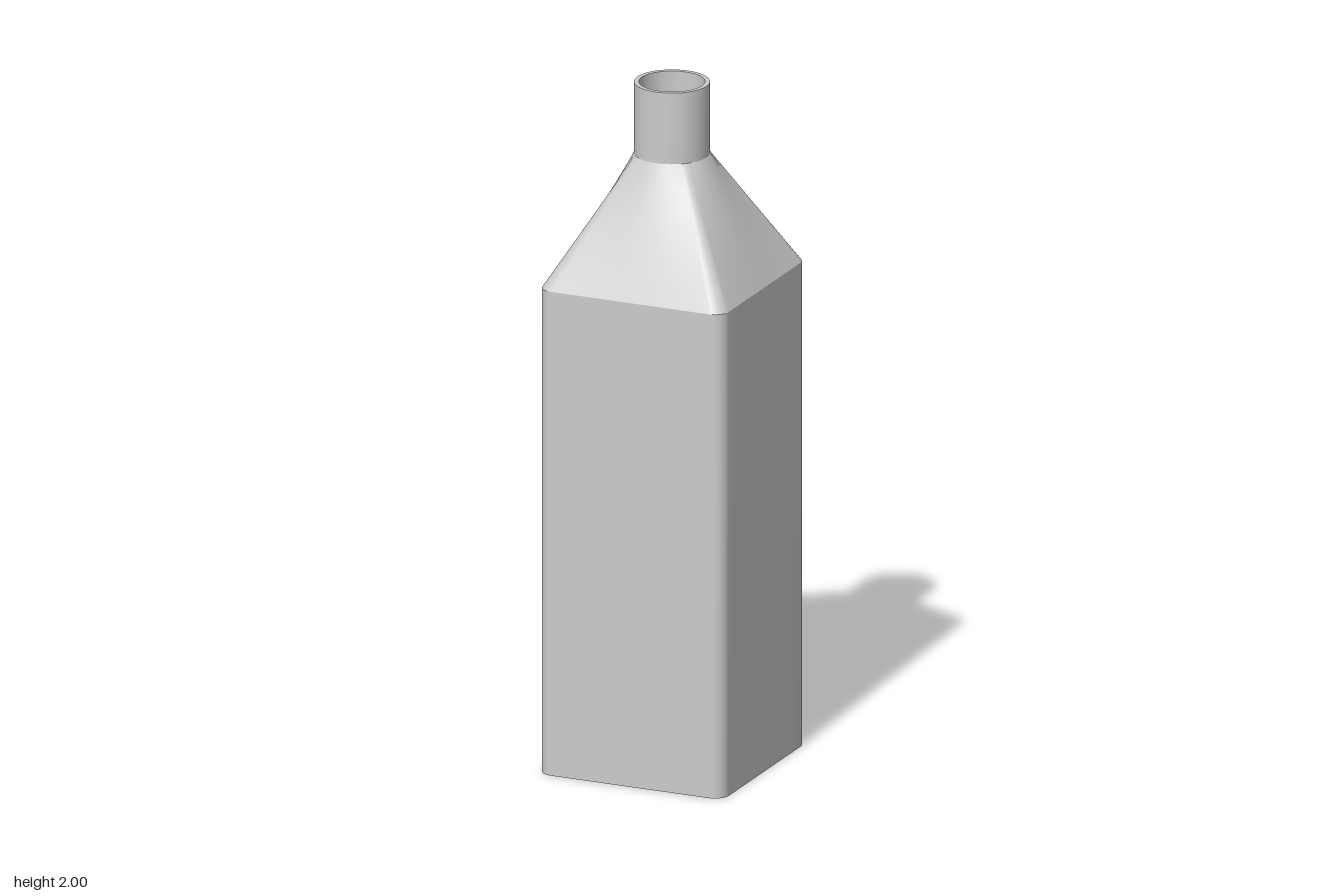
import * as THREE from 'three';

const EDGE = 8;    // segments along each flat side
const ARC = 6;     // segments around each rounded corner
const WALL = 0.014;
const HALF = 0.286, CORNER = 0.042, NECK = 0.107;
const SHOULDER_Y = 1.43, NECK_Y = 1.79, TOP_Y = 2;

// Rounded square outline, counter-clockwise seen from above
function squareRing(y, half, corner) {
  const ring = [], c = half - corner;
  for (let side = 0; side < 4; side++) {
    const turn = side * Math.PI / 2;
    const add = (x, w) => ring.push(new THREE.Vector3(
      x * Math.cos(turn) - w * Math.sin(turn), y,
      -(x * Math.sin(turn) + w * Math.cos(turn))));
    for (let i = 0; i < EDGE; i++) add(half, -c + 2 * c * i / EDGE);
    for (let i = 0; i < ARC; i++) {
      const a = i / ARC * Math.PI / 2;
      add(c + corner * Math.cos(a), c + corner * Math.sin(a));
    }
  }
  return ring;
}

// Circle whose points lie in the same directions as the square's points
function circleRing(y, radius) {
  return squareRing(0, HALF, CORNER).map(p => p.setLength(radius).setY(y));
}

// Ruled skin between two rings, smooth around and sharp at both ends
function skin(name, from, to, material, rows = 1) {
  const n = from.length, points = [], index = [];
  for (let r = 0; r <= rows; r++) {
    for (let i = 0; i < n; i++) points.push(from[i].clone().lerp(to[i], r / rows));
  }
  for (let r = 0; r < rows; r++) {
    for (let i = 0; i < n; i++) {
      const a = r * n + i, b = r * n + (i + 1) % n;
      index.push(a, b, b + n, a, b + n, a + n);
    }
  }
  const geometry = new THREE.BufferGeometry().setFromPoints(points);
  geometry.setIndex(index);
  geometry.computeVertexNormals();
  const mesh = new THREE.Mesh(geometry, material);
  mesh.name = name;
  return mesh;
}

// Flat cap fanned from the centre; up selects the facing direction
function cap(name, ring, up, material) {
  const n = ring.length, index = [];
  const points = [new THREE.Vector3(0, ring[0].y, 0), ...ring];
  for (let i = 0; i < n; i++) {
    const a = 1 + i, b = 1 + (i + 1) % n;
    index.push(0, up ? a : b, up ? b : a);
  }
  const geometry = new THREE.BufferGeometry().setFromPoints(points);
  geometry.setIndex(index);
  geometry.computeVertexNormals();
  const mesh = new THREE.Mesh(geometry, material);
  mesh.name = name;
  return mesh;
}

export function createModel() {
  const material = new THREE.MeshStandardMaterial({ color: 0xcccccc });
  const bottle = new THREE.Group();
  bottle.name = 'bottle';

  // Matching rings of the outer and inner walls
  const outer = {
    base: squareRing(0, HALF, CORNER),
    shoulder: squareRing(SHOULDER_Y, HALF, CORNER),
    neck: circleRing(NECK_Y, NECK),
    top: circleRing(TOP_Y, NECK),
  };
  const inner = {
    base: squareRing(WALL, HALF - WALL, CORNER - WALL),
    shoulder: squareRing(SHOULDER_Y - WALL / 2, HALF - WALL, CORNER - WALL),
    neck: circleRing(NECK_Y - WALL / 2, NECK - WALL),
    top: circleRing(TOP_Y, NECK - WALL),
  };

  bottle.add(
    // Outside, from the base up to the rim
    cap('base', outer.base, false, material),
    skin('body', outer.base, outer.shoulder, material),
    skin('shoulder', outer.shoulder, outer.neck, material, 6),
    skin('neck', outer.neck, outer.top, material),
    skin('rim', outer.top, inner.top, material),
    // Inside, from the rim down to the floor
    skin('innerNeck', inner.top, inner.neck, material),
    skin('innerShoulder', inner.neck, inner.shoulder, material, 6),
    skin('innerBody', inner.shoulder, inner.base, material),
    cap('innerFloor', inner.base, true, material),
  );
  return bottle;
}
